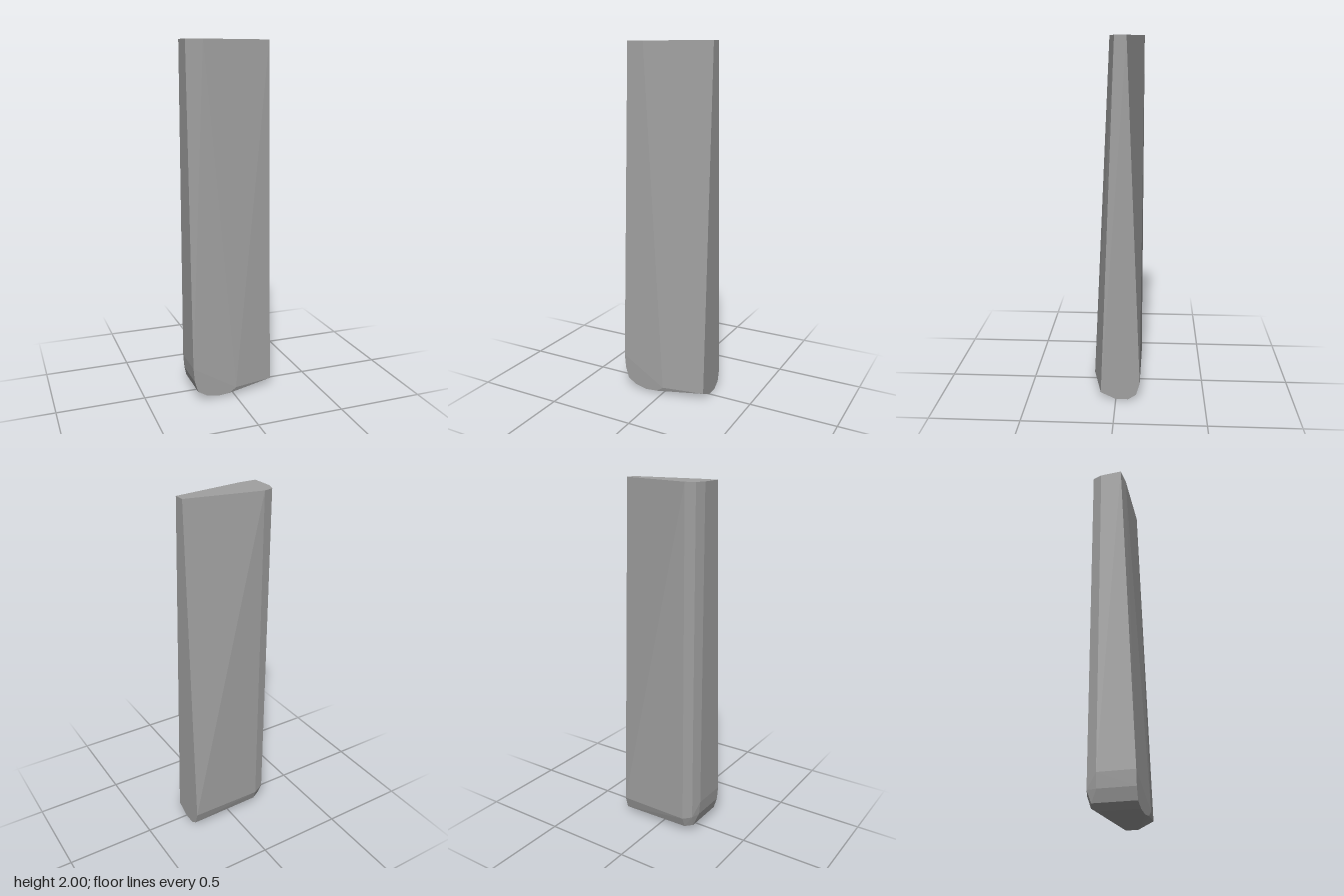
import * as THREE from 'three';
import { ConvexGeometry } from 'three/addons/geometries/ConvexGeometry.js';

const v = (x, y, z) => new THREE.Vector3(x, y, z);

export function createModel() {
  const group = new THREE.Group();
  group.name = 'taperedSlab';
  const gray = new THREE.MeshStandardMaterial({ color: 0xa0a0a0 });
  gray.name = 'stone gray';

  // flat top cross-section (x, z)
  const top = [[-0.247, 0.055], [-0.15, 0.055], [0.245, 0.007], [0.245, -0.055],
    [-0.172, -0.139], [-0.227, -0.123], [-0.247, -0.068]].map(([x, z]) => v(x, 2, z));

  // lower end of the flat side face (y, z)
  const side = [[0.04, 0.085], [0, 0], [0, -0.07], [0.03, -0.115], [0.1, -0.135]]
    .map(([y, z]) => v(0.245, y, z));

  // lower outline of the front face with its rounded corner (x, y)
  const front = [[0.01, 0.045], [-0.03, 0.016], [-0.1, 0.01], [-0.17, 0.025], [-0.22, 0.055],
    [-0.24, 0.12], [-0.247, 0.2]].map(([x, y]) => v(x, y, 0.137));

  // rounded lower back corner
  const back = [v(-0.172, 0.1, -0.139), v(-0.172, 0.04, -0.118), v(-0.1, 0.008, -0.07),
    v(-0.172, 0.025, -0.07), v(-0.227, 0.12, -0.123), v(-0.22, 0.055, -0.1),
    v(-0.247, 0.2, -0.068), v(-0.24, 0.12, -0.068)];

  // convex chiselled body
  const body = new THREE.Mesh(new ConvexGeometry([...top, ...side, ...front, ...back]), gray);
  body.name = 'slabBody';
  group.add(body);
  return group;
}
